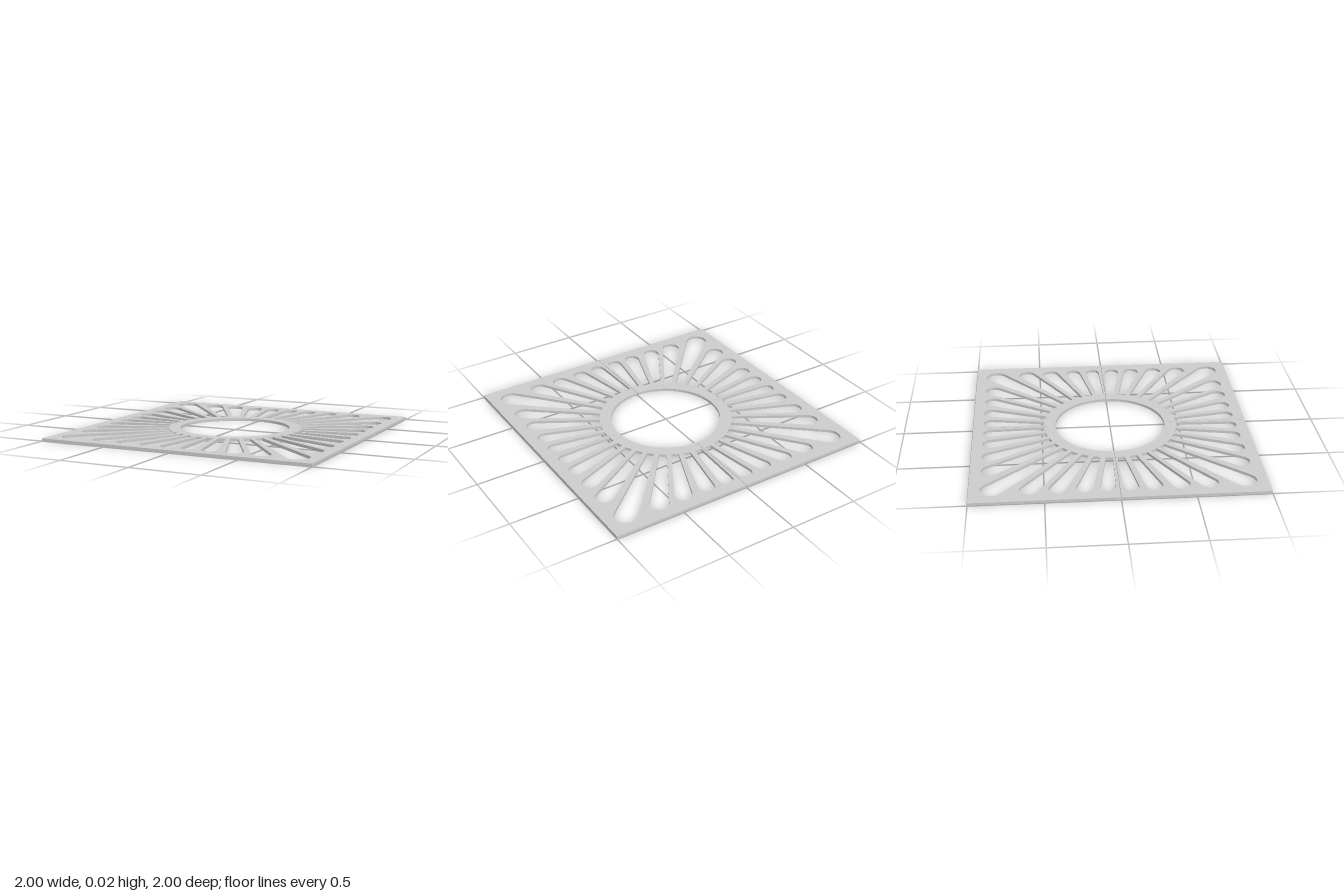
import * as THREE from 'three';

const THICKNESS = 0.02;
const OPENING = 0.4;      // radius of the central opening
const SLOT_START = 0.485; // radius where the slots begin
const GAP = 0.0015;       // half the seam between neighbouring quarters

// Slots up to the diagonal: angle of the inner end, rounded end x, y, radius
const SLOTS = [
  [85.3, 0.078, 0.873, 0.052],
  [75, 0.233, 0.868, 0.057],
  [65, 0.413, 0.865, 0.06],
  [55, 0.6, 0.86, 0.065],
  [45, 0.845, 0.845, 0.08],
];

// Teardrop slot: narrow inner end joined by tangents to a rounded outer end
function slotPath([angle, x, y, r]) {
  const centre = new THREE.Vector2(x, y);
  const inner = (deg) => {
    const a = THREE.MathUtils.degToRad(deg);
    return new THREE.Vector2(Math.cos(a), Math.sin(a)).multiplyScalar(SLOT_START);
  };
  const tangentAngle = (p, side) => {
    const d = p.clone().sub(centre);
    return d.angle() + side * Math.acos(r / d.length());
  };
  const p1 = inner(angle - 3.1);
  const p2 = inner(angle + 3.1);
  const start = tangentAngle(p1, 1);
  const sweep = THREE.MathUtils.euclideanModulo(tangentAngle(p2, -1) - start, Math.PI * 2);
  const points = [p1];
  const steps = 8;
  for (let i = 0; i <= steps; i++) {
    const a = start + (sweep * i) / steps;
    points.push(new THREE.Vector2(x + r * Math.cos(a), y + r * Math.sin(a)));
  }
  points.push(p2, inner(angle));
  return new THREE.Path(points);
}

// One quarter of the square plate, with its share of the central opening
function quarterGeometry() {
  const shape = new THREE.Shape();
  const a = Math.asin(GAP / OPENING);
  shape.moveTo(OPENING * Math.cos(a), GAP);
  shape.lineTo(1, GAP);
  shape.lineTo(1, 1);
  shape.lineTo(GAP, 1);
  shape.lineTo(GAP, OPENING * Math.cos(a));
  shape.absarc(0, 0, OPENING, Math.PI / 2 - a, a, true);

  for (const slot of SLOTS) {
    const [angle, x, y, r] = slot;
    shape.holes.push(slotPath(slot));
    // Mirror across the diagonal
    if (angle !== 45) shape.holes.push(slotPath([90 - angle, y, x, r]));
  }
  const geometry = new THREE.ExtrudeGeometry(shape, {
    depth: THICKNESS, bevelEnabled: false, curveSegments: 20,
  });
  return geometry.rotateX(-Math.PI / 2);
}

export function createModel() {
  const group = new THREE.Group();
  group.name = 'squareGrate';
  const material = new THREE.MeshStandardMaterial({ color: 0xcccccc });
  const geometry = quarterGeometry();
  const names = ['backLeftQuarter', 'backRightQuarter', 'frontRightQuarter', 'frontLeftQuarter'];
  names.forEach((name, i) => {
    const quarter = new THREE.Mesh(geometry, material);
    quarter.name = name;
    quarter.rotation.y = (i * Math.PI) / 2;
    group.add(quarter);
  });
  return group;
}
